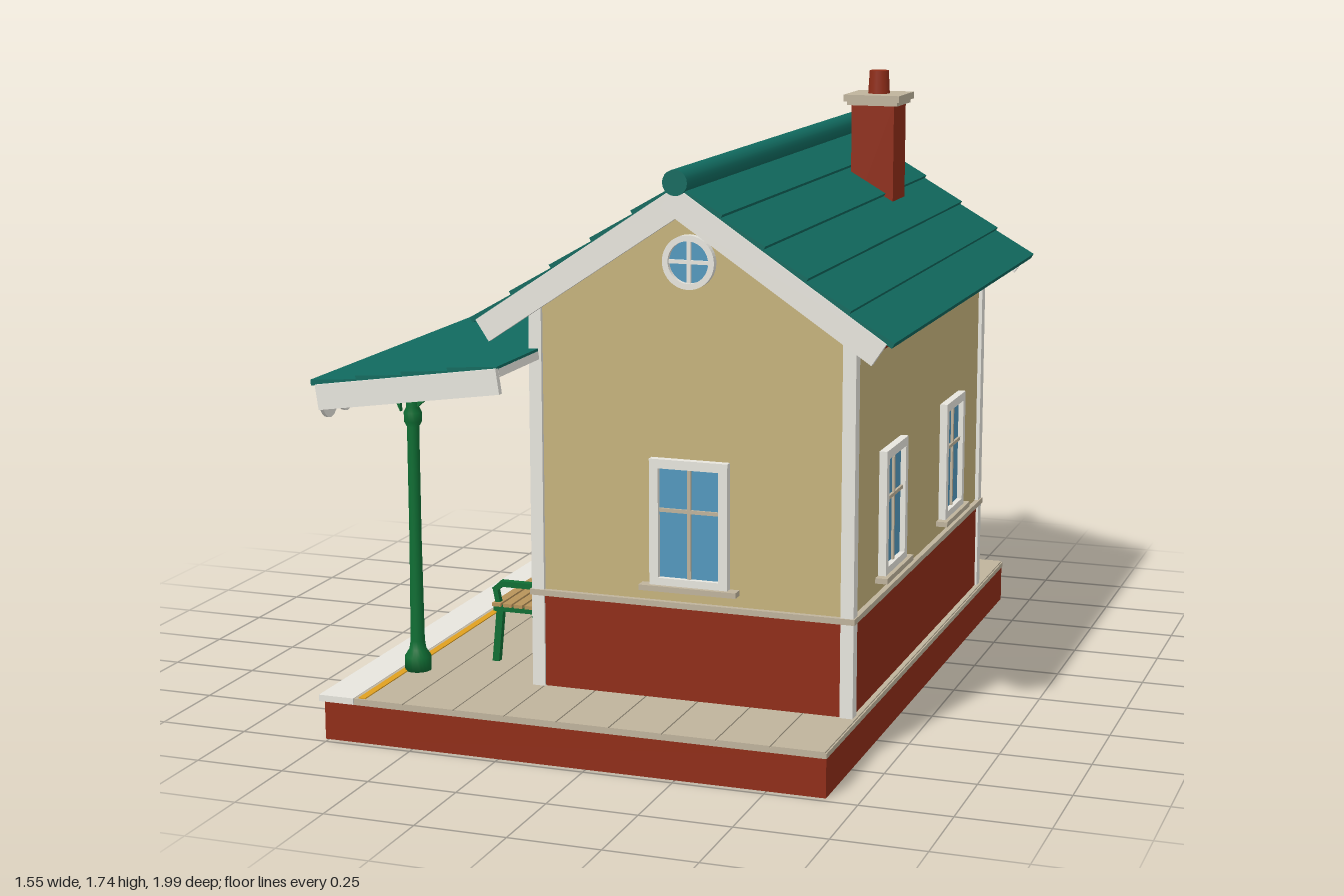
import * as THREE from 'three';

const mat = (name, color) => {
  const m = new THREE.MeshStandardMaterial({ color });
  m.name = name;
  return m;
};

export function createModel() {
  const wall = mat('wall tan', 0xc6b37c), red = mat('brick red', 0x8f2d18), teal = mat('roof teal', 0x116a5f);
  const green = mat('iron green', 0x0f6e34), trim = mat('trim white', 0xf2f0e8), blue = mat('glass blue', 0x5398bd);
  const stone = mat('stone', 0xbfb39c), yellow = mat('line yellow', 0xe0a020), wood = mat('bench wood', 0xb8935a);
  const dark = mat('dark', 0x2c2c2a);
  const root = new THREE.Group();
  root.name = 'stationHouse';
  const CX = 0.195, FLOOR = 0.125;

  const add = (parent, name, geo, m, x = 0, y = 0, z = 0) => {
    const mesh = new THREE.Mesh(geo, m);
    mesh.name = name;
    mesh.position.set(x, y, z);
    parent.add(mesh);
    return mesh;
  };
  // box given by its minimum and maximum corners
  const box = (p, name, m, x0, x1, y0, y1, z0, z1) =>
    add(p, name, new THREE.BoxGeometry(x1 - x0, y1 - y0, z1 - z0), m, (x0 + x1) / 2, (y0 + y1) / 2, (z0 + z1) / 2);
  const group = (name, x = 0, y = 0, z = 0, ry = 0, parent = root) => {
    const g = new THREE.Group();
    g.name = name;
    g.position.set(x, y, z);
    g.rotation.y = ry;
    parent.add(g);
    return g;
  };
  const poly = pts => new THREE.Shape(pts.map(p => new THREE.Vector2(...p)));
  const extrude = (shape, depth, curveSegments = 12) =>
    new THREE.ExtrudeGeometry(shape, { depth, bevelEnabled: false, curveSegments });
  const lathe = (pts, seg = 20) => new THREE.LatheGeometry(pts.map(p => new THREE.Vector2(...p)), seg);
  // square bar between two points of the xy plane
  const bar = (p, name, m, [ax, ay], [bx, by], z, t, w) => {
    const b = add(p, name, new THREE.BoxGeometry(Math.hypot(bx - ax, by - ay) + t * 0.6, t, w), m, (ax + bx) / 2, (ay + by) / 2, z);
    b.rotation.z = Math.atan2(by - ay, bx - ax);
    return b;
  };

  // platform
  const platform = group('platform');
  box(platform, 'platformBase', red, -0.76, 0.66, 0, 0.107, -0.98, 0.98);
  box(platform, 'platformSlab', stone, -0.67, 0.662, 0.107, 0.121, -0.985, 0.985);
  box(platform, 'platformEdge', trim, -0.775, -0.672, 0.107, FLOOR, -0.985, 0.985);
  for (let i = 0; i < 9; i++) {
    const x = -0.67 + i * 0.148;
    box(platform, 'plank', stone, x, x + 0.144, 0.119, FLOOR, -0.985, 0.985);
  }
  box(platform, 'safetyLine', yellow, -0.658, -0.638, 0.12, 0.128, -0.98, 0.98);
  box(platform, 'rearPanel', stone, -0.18, 0.39, 0.002, 0.105, -0.982, -0.976);

  // house walls
  const house = group('house');
  add(house, 'walls', extrude(poly([[-0.445, FLOOR], [0.445, FLOOR], [0.445, 1.19], [0, 1.487], [-0.445, 1.19]]), 1.4), wall, CX, 0, -0.7);
  box(house, 'wainscot', red, CX - 0.449, CX + 0.449, FLOOR, 0.385, -0.704, 0.704);
  box(house, 'beltCourse', stone, CX - 0.46, CX + 0.46, 0.382, 0.398, -0.715, 0.715);
  for (const sx of [-1, 1]) for (const sz of [-1, 1])
    add(house, 'cornerBoard', new THREE.BoxGeometry(0.036, 1.055, 0.036), trim, CX + sx * 0.438, 0.6525, sz * 0.693);

  // sash windows, facing local +z with the wall at z = 0
  const sashWindow = (x, z, ry) => {
    const g = group('window', x, 0, z, ry);
    const frame = poly([[-0.11, 0.44], [0.11, 0.44], [0.11, 0.79], [-0.11, 0.79]]);
    frame.holes.push(poly([[-0.085, 0.465], [-0.085, 0.765], [0.085, 0.765], [0.085, 0.465]]));
    add(g, 'windowFrame', extrude(frame, 0.022), trim);
    box(g, 'windowGlass', blue, -0.087, 0.087, 0.463, 0.767, 0, 0.007);
    box(g, 'verticalBar', stone, -0.005, 0.005, 0.465, 0.765, 0.004, 0.014);
    box(g, 'crossBar', stone, -0.085, 0.085, 0.645, 0.655, 0.004, 0.014);
    box(g, 'windowSill', stone, -0.137, 0.137, 0.43, 0.445, 0, 0.034);
  };
  // round gable windows
  const roundWindow = (z, ry) => {
    const g = group('roundWindow', CX, 1.32, z, ry);
    const ring = new THREE.Shape().absarc(0, 0, 0.072, 0, Math.PI * 2);
    ring.holes.push(new THREE.Path().absarc(0, 0, 0.056, 0, Math.PI * 2, true));
    add(g, 'roundFrame', extrude(ring, 0.02, 24), trim);
    add(g, 'roundGlass', new THREE.CircleGeometry(0.058, 32), blue, 0, 0, 0.006);
    box(g, 'roundBar', trim, -0.005, 0.005, -0.058, 0.058, 0.003, 0.014);
    box(g, 'roundBar', trim, -0.058, 0.058, -0.005, 0.005, 0.003, 0.014);
  };
  for (const s of [-1, 1]) {
    const ry = s > 0 ? 0 : Math.PI;
    sashWindow(CX, s * 0.7, ry);
    roundWindow(s * 0.7, ry);
    sashWindow(CX + 0.445, s * 0.328, Math.PI / 2);
    sashWindow(CX - 0.445, s * 0.44, -Math.PI / 2);
  }

  // platform door
  const door = group('door', CX - 0.449, 0, 0, -Math.PI / 2);
  const doorFrame = poly([[-0.14, FLOOR], [-0.115, FLOOR], [-0.115, 0.8], [0.115, 0.8], [0.115, FLOOR], [0.14, FLOOR], [0.14, 0.83], [-0.14, 0.83]]);
  add(door, 'doorFrame', extrude(doorFrame, 0.022), trim);
  box(door, 'doorLeaf', green, -0.116, 0.116, FLOOR, 0.801, 0, 0.012);
  box(door, 'doorMeetingStrip', trim, -0.006, 0.006, FLOOR, 0.8, 0.01, 0.018);
  for (const s of [-1, 1]) {
    add(door, 'doorPanel', new THREE.BoxGeometry(0.07, 0.25, 0.006), red, s * 0.06, 0.3, 0.013);
    add(door, 'doorGlass', new THREE.BoxGeometry(0.07, 0.27, 0.006), blue, s * 0.06, 0.62, 0.013);
  }

  // one roof slope running down along local +x, in lapped strips
  const slope = (name, x, y, angle, flip, len, strips, halfZ, soffit, soffitDepth) => {
    const pivot = group(name, x, y, 0, flip ? Math.PI : 0);
    const g = group(name + 'Slope', 0, 0, 0, 0, pivot);
    g.rotation.z = -angle;
    const step = len / strips;
    for (let i = 0; i < strips; i++) {
      const b = box(g, 'roofStrip', teal, i * step, (i + 1) * step + 0.008, -0.012, 0.004, -halfZ, halfZ);
      b.rotation.z = 0.07;
    }
    box(g, 'soffit', soffit, 0, len - 0.015, -soffitDepth, -0.008, -halfZ + 0.01, halfZ - 0.01);
    for (const s of [-1, 1])
      add(g, 'bargeBoard', new THREE.BoxGeometry(len - 0.008, 0.068, 0.018), trim, len / 2 - 0.004, -0.039, s * halfZ);
    return g;
  };
  const pitch = Math.atan(0.667);
  for (const flip of [false, true]) slope('roof', CX, 1.535, pitch, flip, 0.688, 5, 0.808, red, 0.042);
  add(root, 'ridgeCap', new THREE.CylinderGeometry(0.034, 0.034, 1.64, 20), teal, CX, 1.54, 0).rotation.x = Math.PI / 2;

  // platform canopy with scalloped valance
  slope('canopy', -0.235, 1.066, 0.145, true, 0.535, 4, 0.985, trim, 0.03);
  const scallops = new THREE.Shape();
  const n = 20, w = 1.95 / n;
  scallops.moveTo(-0.975, 0.985);
  scallops.lineTo(-0.975, 0.92);
  for (let i = 0; i < n; i++) {
    const z = -0.975 + i * w;
    scallops.quadraticCurveTo(z + w / 2, 0.85, z + w, 0.92);
  }
  scallops.lineTo(0.975, 0.985);
  add(root, 'valance', extrude(scallops, 0.01, 6), trim, -0.745, 0, 0).rotation.y = -Math.PI / 2;

  // canopy posts with brackets
  for (const z of [-0.685, 0.685]) {
    const post = group('canopyPost', -0.62, 0, z);
    add(post, 'postColumn', lathe([[0, FLOOR], [0.037, FLOOR], [0.037, 0.165], [0.024, 0.185], [0.02, 0.21], [0.017, 0.5], [0.017, 0.82],
      [0.025, 0.835], [0.025, 0.86], [0.018, 0.875], [0.018, 1.0]]), green);
    box(post, 'postArm', green, -0.085, 0.25, 0.95, 0.965, -0.008, 0.008);
    add(post, 'postBrace', extrude(poly([[0.01, 0.87], [0.11, 0.955], [0.01, 0.955]]), 0.014), green, 0, 0, -0.007);
    add(post, 'postBrace', extrude(poly([[-0.035, 0.86], [-0.035, 0.955], [-0.08, 0.955]]), 0.014), green, 0, 0, -0.007);
  }

  // hanging clock, faces towards both ends of local y
  const clock = group('clock', -0.44, 0.84, 0);
  const dial = group('clockBody', 0, 0, 0, 0, clock);
  dial.rotation.z = Math.PI / 2;
  add(dial, 'clockRim', lathe([[0.088, -0.026], [0.09, -0.034], [0.1, -0.034], [0.11, -0.018], [0.11, 0.018], [0.1, 0.034], [0.09, 0.034], [0.088, 0.026]], 32), red);
  add(dial, 'clockFace', new THREE.CylinderGeometry(0.089, 0.089, 0.054, 32), trim);
  for (const s of [-1, 1]) {
    for (let i = 0; i < 12; i++) {
      const a = i * Math.PI / 6;
      add(dial, 'hourMark', new THREE.BoxGeometry(0.014, 0.005, 0.006), dark, Math.cos(a) * 0.074, s * 0.028, Math.sin(a) * 0.074).rotation.y = -a;
    }
    box(dial, 'minuteHand', dark, 0, 0.06, s * 0.029 - 0.002, s * 0.029 + 0.002, -0.003, 0.003);
    box(dial, 'hourHand', dark, -0.003, 0.003, s * 0.029 - 0.002, s * 0.029 + 0.002, 0, 0.042);
  }
  box(clock, 'clockHanger', green, -0.008, 0.008, 0.105, 0.19, -0.008, 0.008);

  // bench facing the platform edge
  const bench = group('bench', 0, 0, 0.345);
  for (const z of [-0.19, 0.19]) {
    bar(bench, 'frontLeg', green, [-0.445, 0.13], [-0.43, 0.285], z, 0.02, 0.02);
    bar(bench, 'backLeg', green, [-0.305, 0.13], [-0.325, 0.285], z, 0.02, 0.02);
    bar(bench, 'seatRail', green, [-0.445, 0.28], [-0.32, 0.28], z, 0.016, 0.02);
    bar(bench, 'backUpright', green, [-0.325, 0.28], [-0.292, 0.42], z, 0.014, 0.02);
    bar(bench, 'armSupport', green, [-0.435, 0.285], [-0.445, 0.335], z, 0.014, 0.018);
    bar(bench, 'armRest', green, [-0.445, 0.335], [-0.425, 0.352], z, 0.016, 0.022);
    bar(bench, 'armRest', green, [-0.425, 0.352], [-0.315, 0.352], z, 0.016, 0.022);
  }
  for (let i = 0; i < 4; i++) box(bench, 'seatSlat', wood, -0.45 + i * 0.033, -0.424 + i * 0.033, 0.288, 0.298, -0.21, 0.21);
  for (let i = 0; i < 3; i++) {
    const t = 0.33 + i * 0.04, x = -0.325 + (t - 0.28) * 0.235;
    bar(bench, 'backSlat', wood, [x - 0.009, t - 0.012], [x - 0.003, t + 0.012], 0, 0.009, 0.42);
  }

  // milk churns
  for (const [x, z] of [[-0.318, -0.44], [-0.395, -0.35]]) {
    const churn = group('churn', x, FLOOR, z);
    add(churn, 'churnBody', lathe([[0, 0], [0.043, 0], [0.043, 0.14], [0.028, 0.17], [0.028, 0.188], [0.035, 0.19], [0.035, 0.207], [0.025, 0.215], [0, 0.215]]), blue);
    for (const y of [0.012, 0.07])
      add(churn, 'churnBand', new THREE.CylinderGeometry(0.045, 0.045, 0.007, 20), blue, 0, y, 0);
  }

  // chimney
  const chimney = group('chimney', 0.393, 0, -0.4);
  box(chimney, 'chimneyStack', red, -0.064, 0.064, 1.3, 1.65, -0.066, 0.066);
  box(chimney, 'chimneyCap', stone, -0.076, 0.076, 1.642, 1.655, -0.076, 0.076);
  box(chimney, 'chimneyCap', stone, -0.084, 0.084, 1.653, 1.673, -0.084, 0.084);
  add(chimney, 'chimneyPot', new THREE.CylinderGeometry(0.028, 0.032, 0.07, 20), red, 0, 1.705, 0);

  return root;
}
